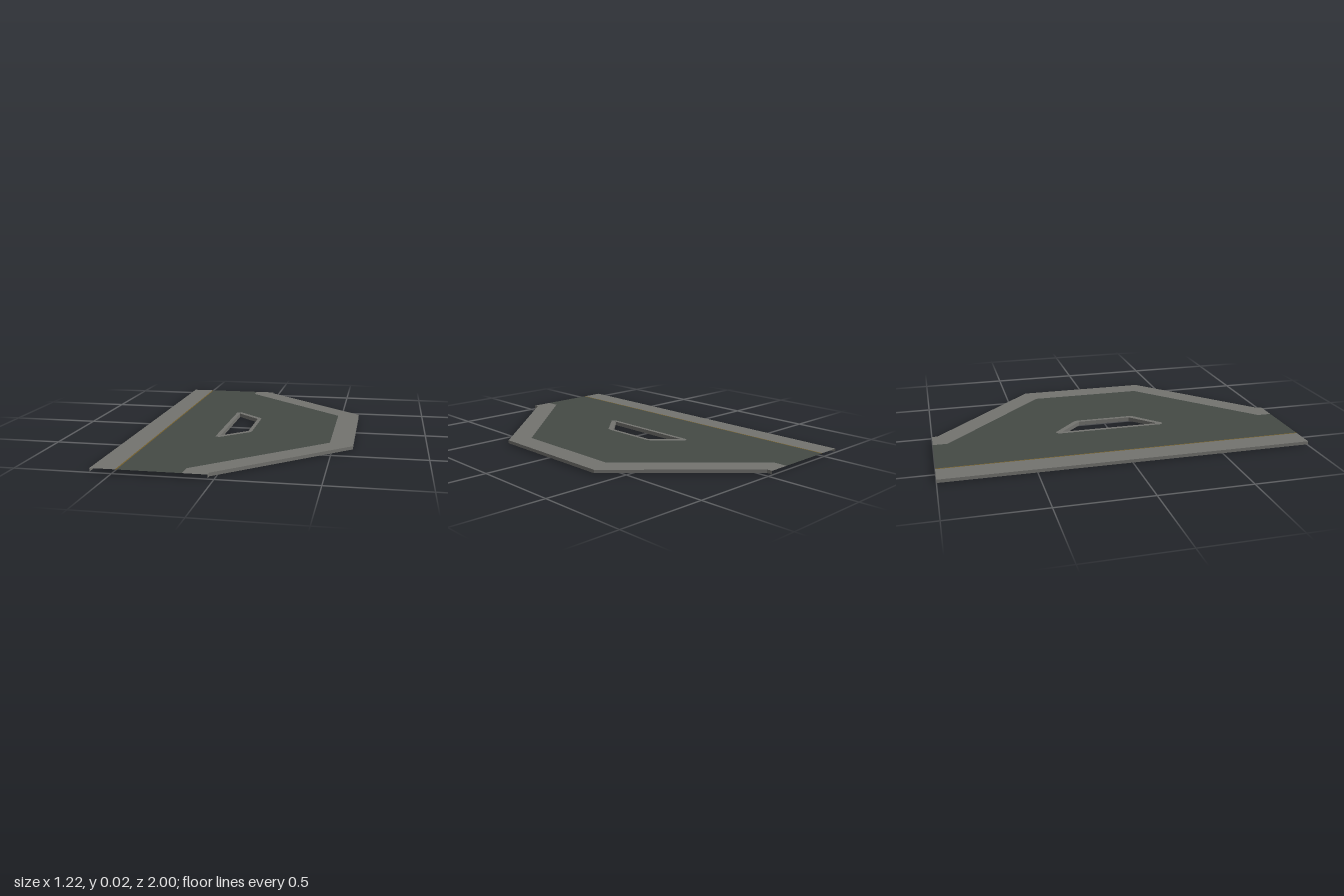
import * as THREE from 'three';

const TOP = 0.022;

// Mirror a half outline (z > 0, listed in order) to a closed loop
const mirrored = (half) => [...half, ...half.slice().reverse().map(([x, z]) => [x, -z])];
const toVectors = (pts) => pts.map(([x, z]) => new THREE.Vector2(x, -z));

export function createModel() {
  const group = new THREE.Group();
  const material = (name, color) => {
    const m = new THREE.MeshStandardMaterial({ color, side: THREE.DoubleSide });
    m.name = name;
    return m;
  };
  const grey = material('border grey', 0x73736f);
  const dark = material('panel dark green grey', 0x454a45);
  const ochre = material('ochre line', 0x75602c);

  const add = (name, geometry, mat) => {
    const mesh = new THREE.Mesh(geometry, mat);
    mesh.name = name;
    group.add(mesh);
  };

  // Flat sheet with an optional cutout
  const sheet = (name, outline, hole, mat) => {
    const shape = new THREE.Shape(toVectors(outline));
    if (hole) shape.holes.push(new THREE.Path(toVectors(hole)));
    add(name, new THREE.ShapeGeometry(shape).rotateX(-Math.PI / 2).translate(0, TOP, 0), mat);
  };

  // Upright wall hanging below a path; its front is on the right of travel seen from above
  const skirt = (name, path, bottom) => {
    const pos = [];
    for (let i = 0; i < path.length - 1; i++) {
      const [ax, az] = path[i], [bx, bz] = path[i + 1];
      pos.push(ax, bottom, az, bx, bottom, bz, bx, TOP, bz);
      pos.push(ax, bottom, az, bx, TOP, bz, ax, TOP, az);
    }
    const g = new THREE.BufferGeometry();
    g.setAttribute('position', new THREE.Float32BufferAttribute(pos, 3));
    g.computeVertexNormals();
    add(name, g, grey);
  };

  const rim = mirrored([[-0.03, 1], [-0.03, 0.97], [0.608, 0.378]]);
  const inner = mirrored([[-0.153, 1], [-0.153, 0.92], [0.483, 0.328]]);
  const hole = mirrored([[-0.132, 0.28], [0.003, 0.152]]);
  const holeRim = mirrored([[-0.155, 0.305], [-0.132, 0.318], [0.015, 0.182], [0.025, 0.16]]);

  // Top sheet: dark panel, grey borders and thin line
  sheet('panel', [[-0.474, 1], ...inner, [-0.474, -1]], holeRim, dark);
  sheet('outerBorder', [...rim, ...inner.slice().reverse()], null, grey);
  sheet('straightBorder', mirrored([[-0.61, 1], [-0.482, 1]]), null, grey);
  sheet('borderLine', mirrored([[-0.482, 1], [-0.474, 1]]), null, ochre);
  sheet('holeBorder', holeRim, hole, grey);

  // Edge walls; both ends stay open
  skirt('outerSkirt', rim, 0.004);
  skirt('straightSkirt', [[-0.61, -1], [-0.61, 1]], 0.004);
  skirt('holeSkirt', [...hole, hole[0]].reverse(), 0);
  return group;
}
